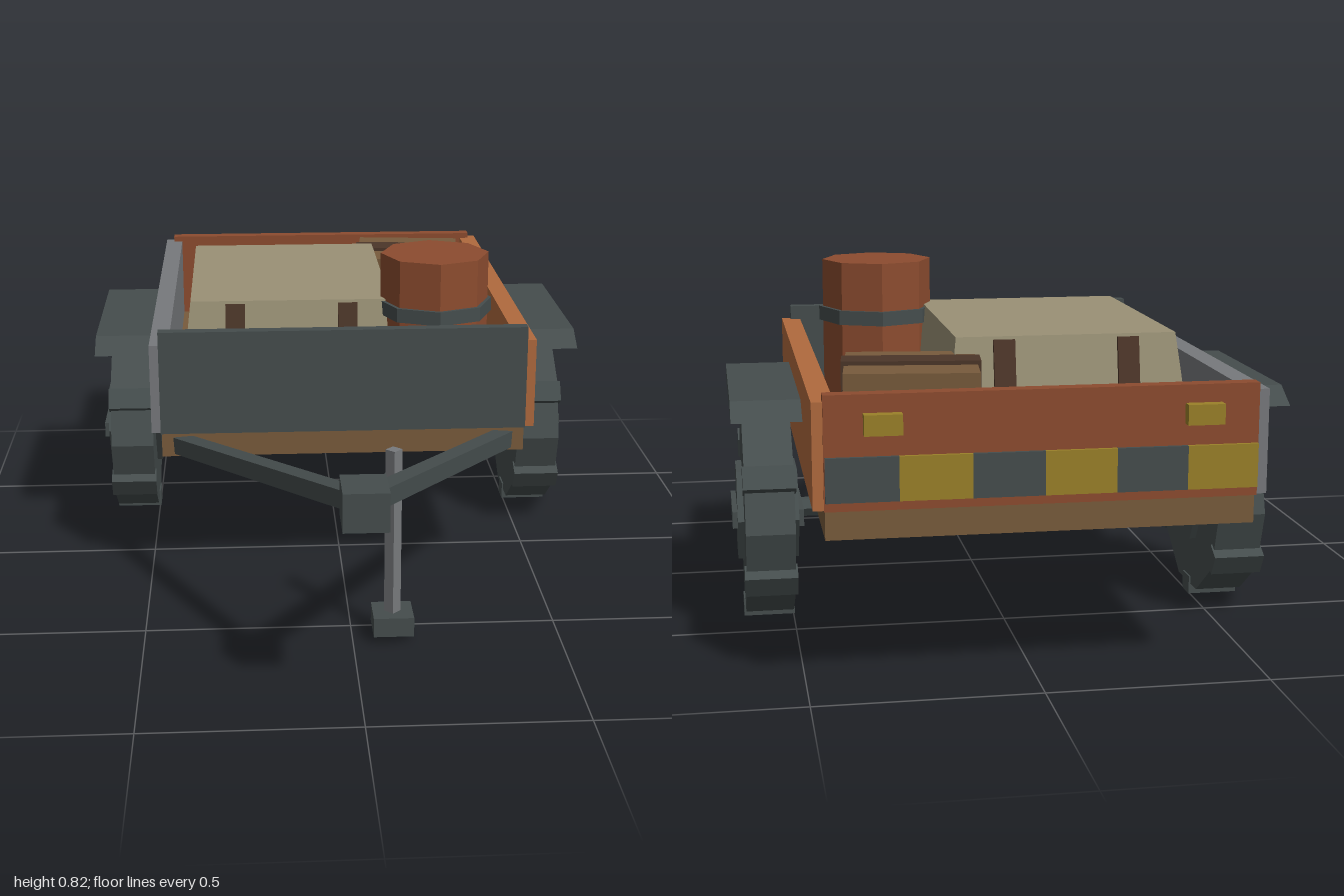
import * as THREE from 'three';

const mat = (name, color) => new THREE.MeshStandardMaterial({ name, color, flatShading: true });

export function createModel() {
  const orange = mat('orange paint', 0xb06a3e);
  const rust = mat('rust paint', 0x8c4c2f);
  const wood = mat('wood', 0x785b3c);
  const dark = mat('dark metal', 0x454d4d);
  const grey = mat('grey metal', 0x77797c);
  const beige = mat('canvas', 0x9a9176);
  const yellow = mat('yellow', 0x9a8029);
  const brown = mat('dark leather', 0x4c3629);

  const model = new THREE.Group();
  model.name = 'cargoTrailer';

  const add = (name, geo, material, parent = model) => {
    const mesh = new THREE.Mesh(geo, material);
    mesh.name = name;
    parent.add(mesh);
    return mesh;
  };
  // Box given by its minimum and maximum on each axis
  const box = (name, m, x0, x1, y0, y1, z0, z1, parent) => {
    const mesh = add(name, new THREE.BoxGeometry(x1 - x0, y1 - y0, z1 - z0), m, parent);
    mesh.position.set((x0 + x1) / 2, (y0 + y1) / 2, (z0 + z1) / 2);
    return mesh;
  };
  // Prism lying along x
  const xPrism = (r, length, sides) => new THREE.CylinderGeometry(r, r, length, sides).rotateZ(Math.PI / 2);

  // Tub
  box('floor', wood, -0.46, 0.46, 0.347, 0.412, -0.965, 0.215);
  box('leftWall', orange, 0.437, 0.485, 0.412, 0.64, -0.97, 0.22);
  box('rightWall', grey, -0.485, -0.437, 0.412, 0.64, -0.97, 0.22);
  box('frontBoard', dark, -0.462, 0.462, 0.41, 0.675, 0.195, 0.225);
  box('tailgate', rust, -0.462, 0.462, 0.41, 0.655, -0.975, -0.94);

  // Hazard stripes and tail lights
  for (let i = 0; i < 6; i++) {
    const x = -0.46 + i * 0.1533;
    box('hazardStripe', i % 2 ? dark : yellow, x, x + 0.1533, 0.43, 0.525, -0.984, -0.975);
  }
  for (const s of [-1, 1]) box('tailLight', yellow, s * 0.34 - 0.04, s * 0.34 + 0.04, 0.572, 0.616, -1, -0.97);

  // Fenders: a trapezoid seen from the side, extruded across x
  const profile = new THREE.Shape();
  profile.moveTo(0.043, 0.537);
  profile.lineTo(0.665, 0.537);
  profile.lineTo(0.6, 0.575);
  profile.lineTo(0.105, 0.575);
  profile.closePath();
  for (const s of [-1, 1]) {
    const geo = new THREE.ExtrudeGeometry(profile, { depth: 0.162, bevelEnabled: false });
    geo.translate(0, 0, -0.081).rotateY(Math.PI / 2);
    add('fender', geo, dark).position.x = s * 0.562;
  }

  // Axle and wheels
  add('axle', xPrism(0.024, 1.0, 6), dark).position.set(0, 0.261, -0.352);
  for (const s of [-1, 1]) {
    const wheel = new THREE.Group();
    wheel.name = s > 0 ? 'leftWheel' : 'rightWheel';
    wheel.position.set(s * 0.558, 0.261, -0.352);
    model.add(wheel);
    add('tyre', xPrism(0.247, 0.114, 10), dark, wheel);
    add('hub', xPrism(0.123, 0.144, 6), dark, wheel);
    box('hubBar', dark, -0.084, 0.084, -0.02, 0.02, -0.105, 0.105, wheel);
    for (let i = 0; i < 6; i++) {
      const geo = new THREE.BoxGeometry(0.122, 0.045, 0.056);
      geo.translate(0, 0.2385, 0).rotateX(i * Math.PI / 3);
      add('treadBlock', geo, dark, wheel);
    }
  }

  // Drawbar and hitch
  for (const s of [-1, 1]) {
    const a = new THREE.Vector3(s * 0.41, 0.377, 0.21);
    const b = new THREE.Vector3(0, 0.5, 0.94);
    const bar = add('drawbar', new THREE.BoxGeometry(0.045, 0.042, a.distanceTo(b)), dark);
    bar.position.copy(a).lerp(b, 0.5);
    bar.lookAt(b);
  }
  box('hitch', dark, -0.05, 0.05, 0.455, 0.543, 0.885, 1);

  // Jack stand
  add('jackPost', new THREE.CylinderGeometry(0.02, 0.02, 0.42, 4), grey).position.set(0.097, 0.268, 0.555);
  box('jackFoot', dark, 0.049, 0.146, 0.017, 0.065, 0.506, 0.602);

  // Bale: a box whose top is drawn in
  const bale = new THREE.BoxGeometry(0.585, 0.295, 0.748);
  const p = bale.attributes.position;
  for (let i = 0; i < p.count; i++) {
    if (p.getY(i) > 0) p.setXYZ(i, p.getX(i) * 0.88, p.getY(i), p.getZ(i) * 0.85);
  }
  bale.computeVertexNormals();
  add('bale', bale, beige).position.set(-0.127, 0.558, -0.274);
  for (const s of [-1, 1]) {
    for (const x of [-0.27, 0.02]) {
      const strap = add('baleStrap', new THREE.BoxGeometry(0.05, 0.292, 0.014), brown);
      strap.position.set(x, 0.555, -0.274 + s * 0.349);
      strap.rotation.x = -s * 0.188;
    }
  }

  // Crate with a band
  const crate = new THREE.Group();
  crate.name = 'crate';
  crate.position.set(0.245, 0.412, -0.685);
  crate.rotation.y = -0.108;
  model.add(crate);
  box('crateBody', wood, -0.147, 0.147, 0, 0.256, -0.143, 0.143, crate);
  box('crateBand', brown, -0.154, 0.154, 0, 0.265, -0.04, 0.04, crate);

  // Drum with a hoop
  add('drum', new THREE.CylinderGeometry(0.14, 0.14, 0.41, 8), rust).position.set(0.247, 0.616, 0.018);
  add('drumHoop', new THREE.CylinderGeometry(0.15, 0.15, 0.036, 8), dark).position.set(0.247, 0.682, 0.018);

  return model;
}
